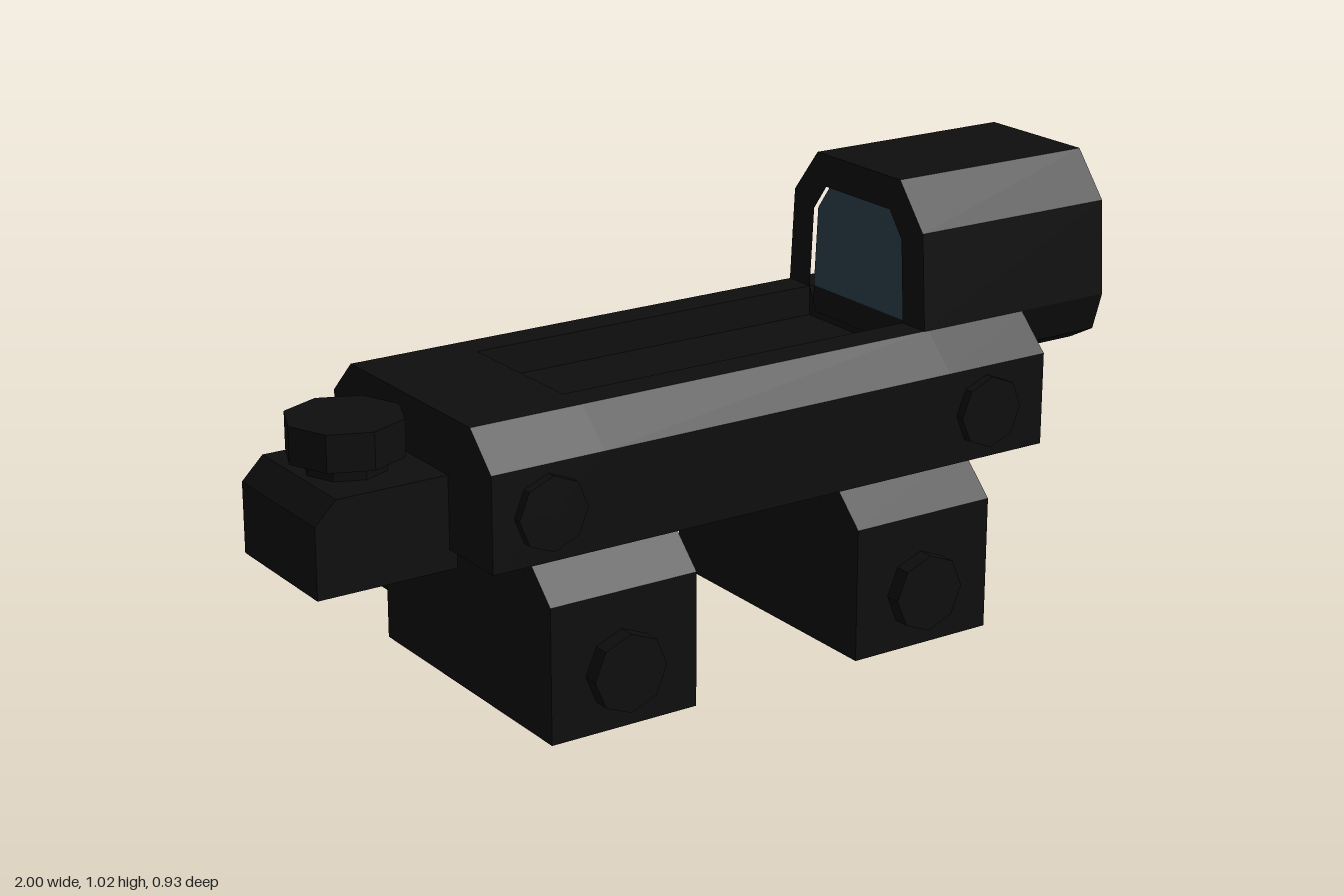
import * as THREE from 'three';

const housing = new THREE.MeshStandardMaterial({ color: 0x0e0e0e });
housing.name = 'matte black';
housing.flatShading = true;
const glass = new THREE.MeshStandardMaterial({ color: 0x304650 });
glass.name = 'blue grey glass';

const MID = 0.077; // z of the housing's centre line

// Outline mirrored about the centre line: points are [half width, y] from bottom to top
function mirrored(half) {
  const right = half.map(([w, y]) => [MID + w, y]);
  const left = half.map(([w, y]) => [MID - w, y]).reverse();
  return [...right, ...left];
}

// Extrude a [z, y] outline along x
function alongX(name, outline, x0, x1, material = housing, hole = null) {
  const toVec = ([z, y]) => new THREE.Vector2(-z, y);
  const shape = new THREE.Shape(outline.map(toVec));
  if (hole) shape.holes.push(new THREE.Path(hole.map(toVec)));
  const geo = new THREE.ExtrudeGeometry(shape, { depth: x1 - x0, bevelEnabled: false });
  geo.rotateY(Math.PI / 2);
  geo.translate(x0, 0, 0);
  const mesh = new THREE.Mesh(geo, material);
  mesh.name = name;
  return mesh;
}

// Faceted disc lying along z
function discZ(name, r, x, y, z0, z1, sides = 8) {
  const geo = new THREE.CylinderGeometry(r, r, z1 - z0, sides);
  geo.rotateX(Math.PI / 2);
  const mesh = new THREE.Mesh(geo, housing);
  mesh.name = name;
  mesh.position.set(x, y, (z0 + z1) / 2);
  return mesh;
}

export function createModel() {
  const model = new THREE.Group();
  model.name = 'reflexSight';

  // Main rail body: solid ends and a trough between them
  const bodyHalf = [[0.333, 0.405], [0.333, 0.62], [0.252, 0.7]];
  const troughHalf = [...bodyHalf, [0.175, 0.7], [0.175, 0.63]];
  model.add(
    alongX('bodyRearBlock', mirrored(bodyHalf), -0.69, -0.42),
    alongX('bodyTrough', mirrored(troughHalf), -0.42, 0.49),
    alongX('bodyFrontBlock', mirrored(bodyHalf), 0.49, 0.76),
  );

  // Hollow lens hood
  const hoodOuter = mirrored([[0.15, 0.57], [0.225, 0.61], [0.253, 0.7], [0.238, 0.92], [0.153, 1.025]]);
  const hoodInner = mirrored([[0.15, 0.645], [0.175, 0.7], [0.163, 0.89], [0.118, 0.95]]);
  model.add(alongX('lensHood', hoodOuter, 0.478, 1, housing, hoodInner));

  // Lens plate in the rear opening
  const lensOutline = mirrored([[0.175, 0.7], [0.163, 0.89], [0.118, 0.95]]);
  model.add(alongX('lens', lensOutline, 0.49, 0.498, glass));

  // Side screws on both flanks of the body
  for (const x of [-0.555, 0.595]) {
    model.add(
      discZ('frontSideScrew', 0.083, x, 0.517, 0.4, 0.431),
      discZ('backSideScrew', 0.083, x, 0.517, -0.277, -0.25),
    );
  }

  // Two mounting clamps, each with a bolt head and a thumb knob
  const clampOutline = mirrored([[0.35, 0], [0.35, 0.31], [0.252, 0.405]]);
  for (const [x0, x1, boltX] of [[-0.565, -0.2, -0.39], [0.23, 0.597, 0.406]]) {
    const clamp = new THREE.Group();
    clamp.name = 'mountClamp';
    clamp.add(
      alongX('clampBlock', clampOutline, x0, x1),
      discZ('boltHead', 0.09, boltX, 0.135, 0.42, 0.464),
      discZ('knobShaft', 0.09, boltX, 0.135, -0.34, -0.26),
      discZ('thumbKnob', 0.13, boltX, 0.135, -0.464, -0.328),
    );
    model.add(clamp);
  }

  // Adjustment turret behind the body, with a chamfered rear top edge
  const turret = new THREE.Group();
  turret.name = 'adjustmentTurret';
  const side = new THREE.Shape([[-1, 0.36], [-0.672, 0.36], [-0.672, 0.57], [-0.95, 0.57], [-1, 0.52]]
    .map(([x, y]) => new THREE.Vector2(x, y)));
  const base = new THREE.Mesh(new THREE.ExtrudeGeometry(side, { depth: 0.325, bevelEnabled: false }), housing);
  base.name = 'turretBase';
  base.position.z = -0.09;
  turret.add(base);
  for (const [name, r, y0, y1] of [['turretShaft', 0.09, 0.55, 0.61], ['turretCap', 0.13, 0.602, 0.685]]) {
    const mesh = new THREE.Mesh(new THREE.CylinderGeometry(r, r, y1 - y0, 8), housing);
    mesh.name = name;
    mesh.position.set(-0.842, (y0 + y1) / 2, MID);
    turret.add(mesh);
  }
  model.add(turret);

  return model;
}
